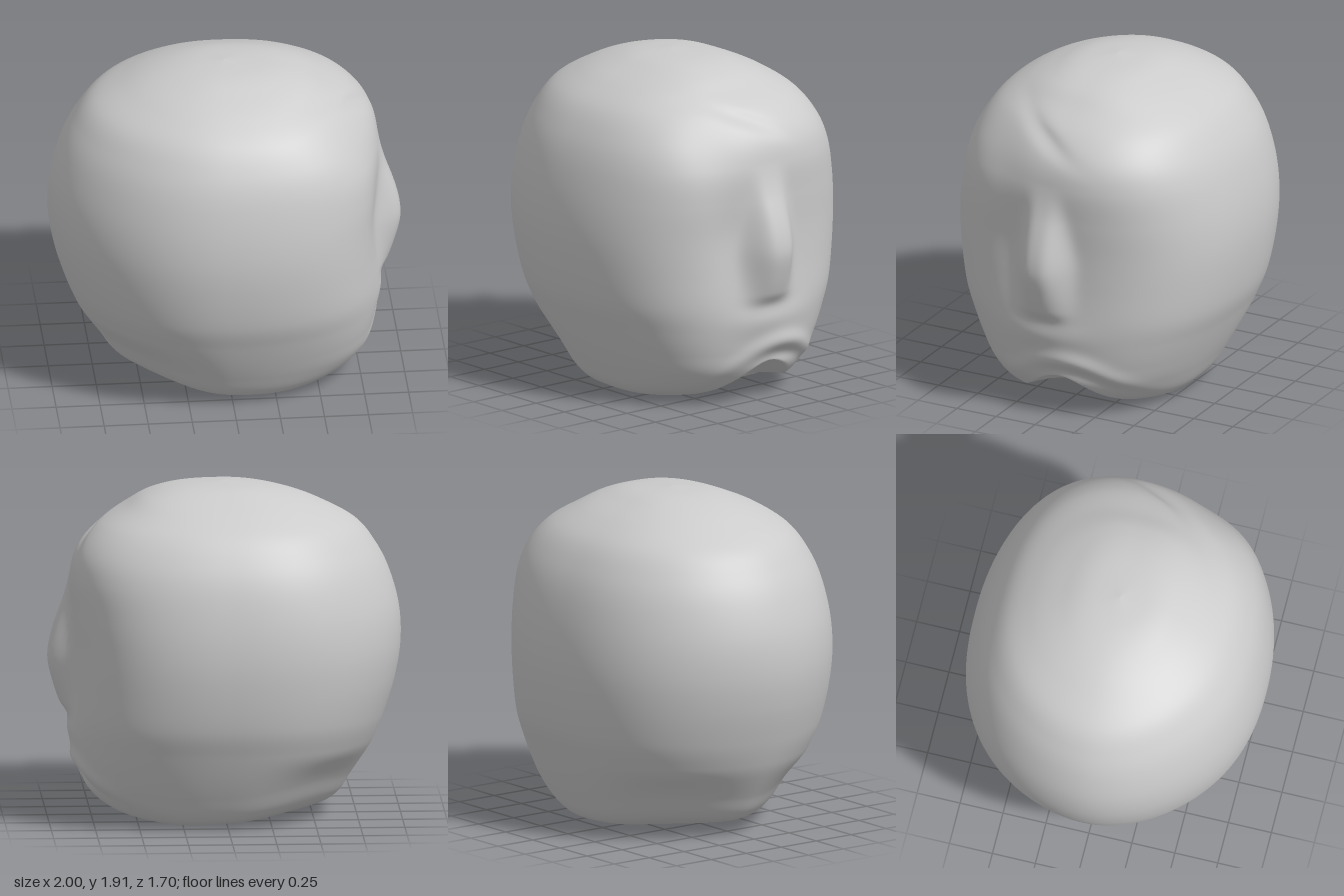
import * as THREE from 'three';

const { smoothstep } = THREE.MathUtils;
const bell = (d, s) => Math.exp(-((d / s) ** 2));

// Profile rings from the base up: height, back depth, face depth, half width
const PROFILE = [
  [0.02, 0, 0, 0], [0.02, 0.2, 0.2, 0.19], [0.022, 0.4, 0.4, 0.37], [0.04, 0.57, 0.58, 0.5],
  [0.09, 0.655, 0.7, 0.57], [0.2, 0.72, 0.8, 0.635], [0.32, 0.785, 0.835, 0.695],
  [0.45, 0.85, 0.855, 0.75], [0.6, 0.91, 0.865, 0.805], [0.8, 0.97, 0.86, 0.84],
  [1.0, 1.0, 0.86, 0.852], [1.2, 0.99, 0.87, 0.835], [1.4, 0.935, 0.875, 0.79],
  [1.55, 0.86, 0.835, 0.725], [1.68, 0.755, 0.725, 0.63], [1.78, 0.58, 0.565, 0.49],
  [1.85, 0.41, 0.44, 0.34], [1.895, 0.22, 0.27, 0.2], [1.915, 0, 0, 0],
];

// Facial relief, measured along x
function relief(y, z) {
  let d = 0;
  // nose: narrow bridge above, rounded tip below
  const width = 0.145 - 0.04 * smoothstep(y, 0.9, 1.35);
  d += 0.138 * smoothstep(y, 0.53, 0.92) * (1 - smoothstep(y, 0.92, 1.42))
    * Math.exp(-(Math.abs((z - 0.015) / width) ** 3.2));
  d += 0.03 * smoothstep(y, 0.57, 0.66) * bell(y - 0.66, 0.14) * bell(z - 0.015, 0.13);
  // shallow hollow beside the nose
  d -= 0.02 * bell(y - 1.05, 0.28) * bell(z - 0.27, 0.15);
  // drooping lip, its fold deeper on one side
  const lip = 0.35 - 1.1 * (z + 0.08) ** 2;
  d += 0.03 * bell(y - lip, 0.06) * bell(z + 0.12, 0.28);
  d -= 0.02 * bell(y - lip + 0.08, 0.05) * bell(z + 0.18, 0.2);
  // fuller upper lip
  d += 0.025 * bell(y - 0.5, 0.1) * bell(z, 0.25);
  // flattened plane and crease on one side of the brow
  d -= 0.06 * bell(y - 1.57, 0.22) * bell(z - 0.38, 0.27);
  d -= 0.025 * bell(y - 1.66 - 0.4 * (z - 0.1), 0.045) * bell(z - 0.1, 0.2);
  return d;
}

// Underside: lowest ahead of the middle, rising to the back and cut away below the mouth
function underside(x, y, z) {
  const rear = Math.min(x, 0) ** 2;
  const fade = 1 - smoothstep(y, 0.02, 0.45);
  const lifted = y + fade * (rear * (0.12 + 1.5 * z * z) - 0.02 * bell(x - 0.25, 0.25));
  const chin = 0.02 + 0.45 * Math.max(0, x - 0.32) * bell(z + 0.05, 0.3);
  return chin > 0.021 ? Math.max(lifted, chin) : lifted;
}

function headGeometry(rings = 200, sides = 300) {
  const depth = new THREE.CatmullRomCurve3(
    PROFILE.map(([y, back, face]) => new THREE.Vector3(back, y, face)), false, 'catmullrom');
  const breadth = new THREE.CatmullRomCurve3(
    PROFILE.map(([y, , , half]) => new THREE.Vector3(half, y, 0)), false, 'catmullrom');
  const position = [];
  const index = [];
  for (let i = 0; i <= rings; i++) {
    const { x: back, y, z: face } = depth.getPoint(i / rings);
    const half = breadth.getPoint(i / rings).x;
    const low = 1 - smoothstep(y, 0.02, 0.6);
    for (let j = 0; j < sides; j++) {
      // rounded-square section, squarer toward the face, leaner at the back of the base
      const a = (j / sides) * Math.PI * 2;
      const c = Math.cos(a);
      const s = Math.sin(a);
      const n = 2.25 + 0.3 * c - (0.08 * s + 0.15 * low) * (1 - c);
      const r = (Math.abs(c) ** n + Math.abs(s) ** n) ** (-1 / n);
      const z = r * s * half;
      let x = r * c * (c > 0 ? face : back);
      x += relief(y, z) * smoothstep(x, 0.1, 0.55);
      position.push(x, Math.max(0, underside(x, y, z)), z);
      if (i < rings) {
        const next = (j + 1) % sides;
        const p = i * sides + j;
        const q = i * sides + next;
        index.push(p, p + sides, q, q, p + sides, q + sides);
      }
    }
  }
  const geometry = new THREE.BufferGeometry();
  geometry.setAttribute('position', new THREE.Float32BufferAttribute(position, 3));
  geometry.setIndex(index);
  geometry.computeVertexNormals();
  return geometry;
}

export function createModel() {
  const group = new THREE.Group();
  group.name = 'stoneHead';
  const head = new THREE.Mesh(headGeometry(),
    new THREE.MeshStandardMaterial({ color: 0xcccccc }));
  head.name = 'head';
  group.add(head);
  return group;
}
